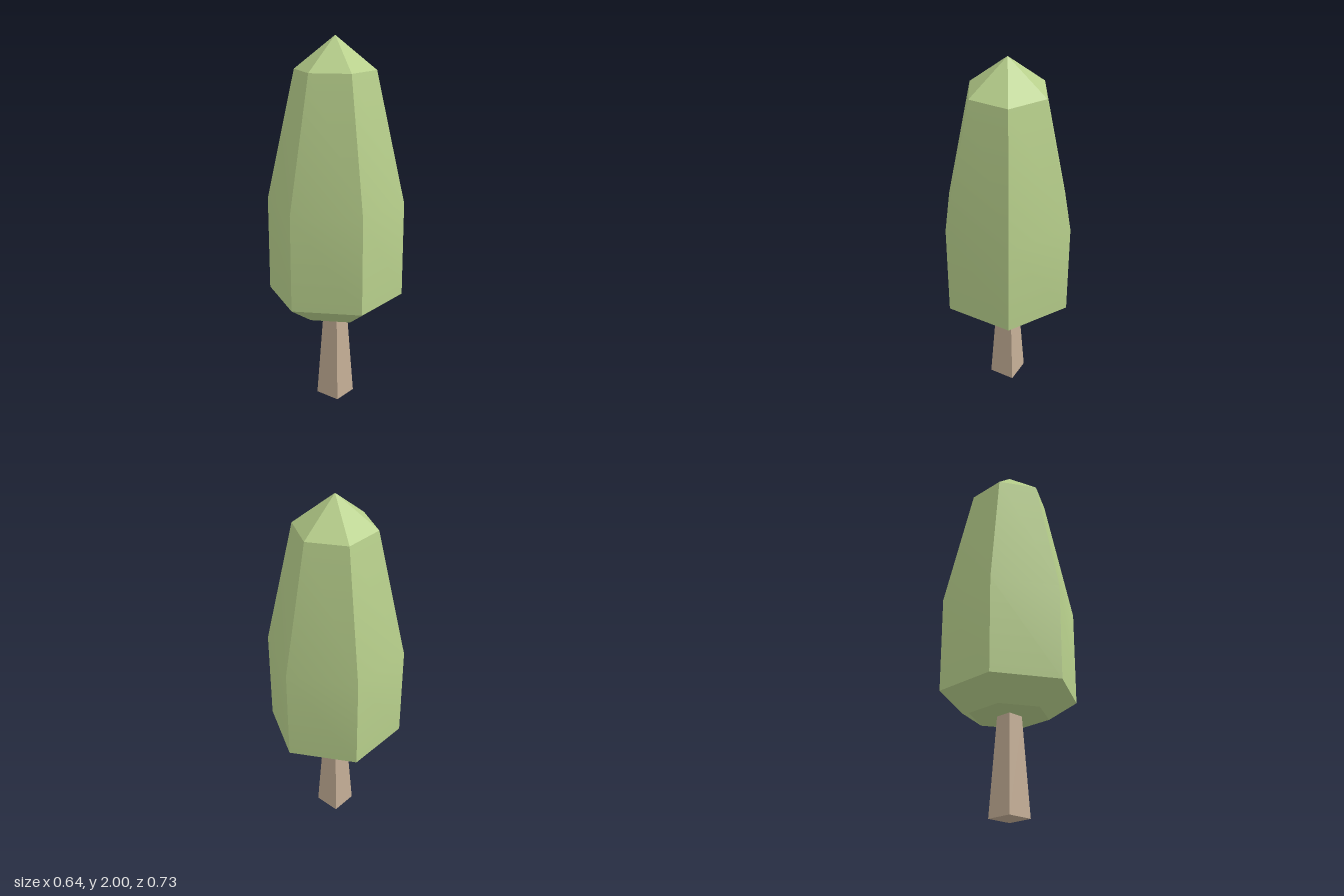
import * as THREE from 'three';
import { toCreasedNormals } from 'three/addons/utils/BufferGeometryUtils.js';

export function createModel() {
  const tree = new THREE.Group();
  tree.name = 'tree';

  // Crown: six-sided lathe, radius and height from the underside to the tip
  const profile = [
    [0, 0.52], [0.213, 0.52], [0.367, 0.625], [0.367, 1.14], [0.213, 1.83], [0, 2],
  ].map(([r, y]) => new THREE.Vector2(r, y));
  const crown = new THREE.Mesh(
    toCreasedNormals(new THREE.LatheGeometry(profile, 6), 0.4),
    new THREE.MeshStandardMaterial({ color: 0xb8d08c }),
  );
  crown.name = 'crown';

  // Trunk: tapered square post, flat sides facing the axes
  const height = 0.52;
  const trunkGeometry = new THREE.CylinderGeometry(
    0.045 * Math.SQRT2, 0.073 * Math.SQRT2, height, 4, 1, false, Math.PI / 4);
  trunkGeometry.translate(0, height / 2, 0);
  const trunk = new THREE.Mesh(
    toCreasedNormals(trunkGeometry, 0.4),
    new THREE.MeshStandardMaterial({ color: 0xc4ae96 }),
  );
  trunk.name = 'trunk';

  tree.add(crown, trunk);
  return tree;
}
